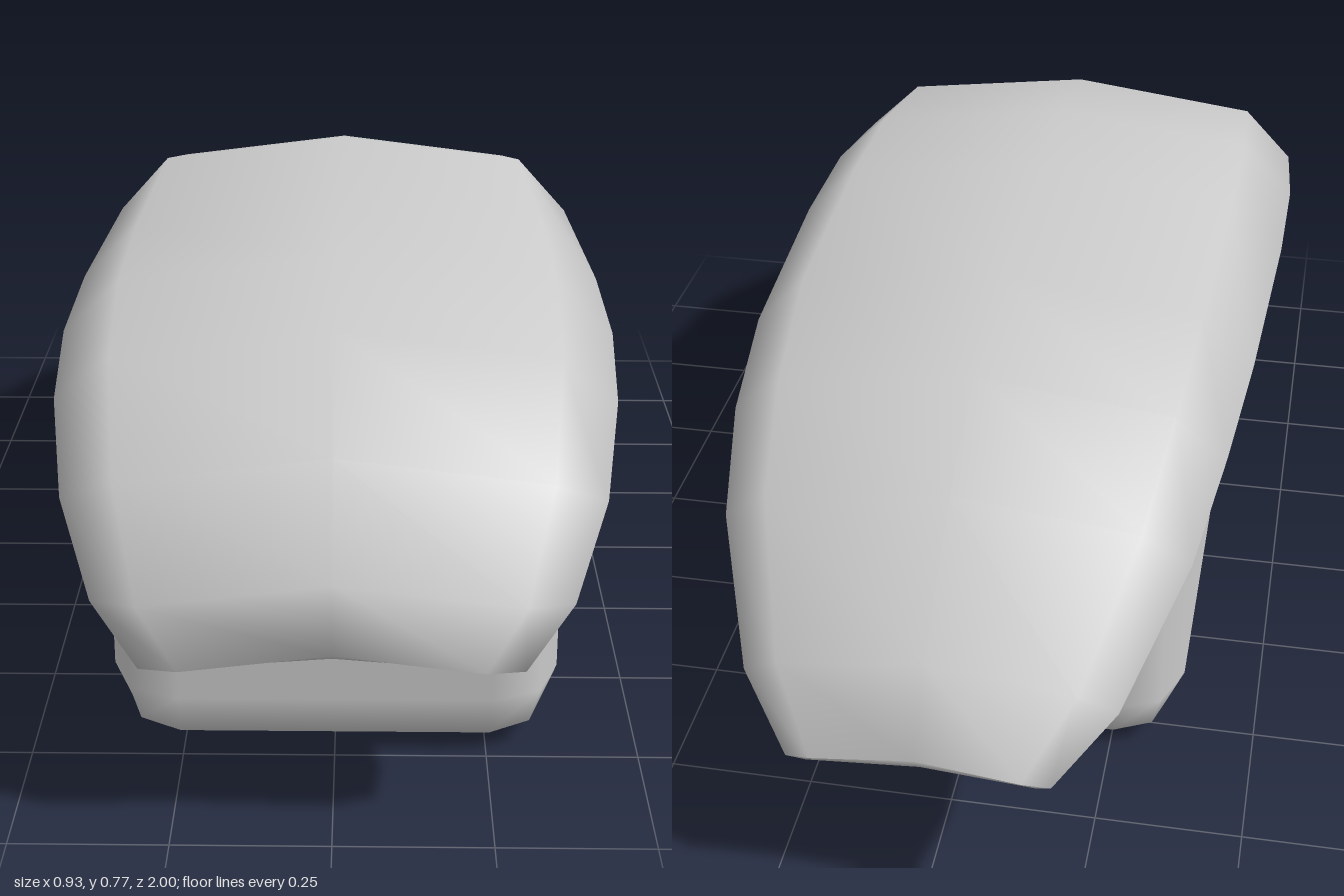
import * as THREE from 'three';
import { RoundedBoxGeometry } from 'three/addons/geometries/RoundedBoxGeometry.js';

// Cross-sections of the cover, front to back: [top z, top y, bottom z, bottom y, half width]
const SECTIONS = [
  [1.0, 0.335, 0.945, 0.278, 0.29],
  [0.98, 0.44, 0.86, 0.35, 0.365],
  [0.86, 0.59, 0.76, 0.44, 0.42],
  [0.665, 0.715, 0.6, 0.495, 0.45],
  [0.42, 0.757, 0.4, 0.515, 0.465],
  [0.16, 0.77, 0.16, 0.52, 0.463],
  [-0.27, 0.77, -0.24, 0.515, 0.443],
  [-0.5, 0.71, -0.46, 0.495, 0.42],
  [-0.7, 0.615, -0.64, 0.425, 0.385],
  [-0.91, 0.445, -0.86, 0.32, 0.3],
  [-1.0, 0.33, -0.965, 0.27, 0.21],
];

// Each ring has eight points: crown, shoulder, side and lower rim, mirrored about x = 0
function coverGeometry() {
  const N = 8;
  const positions = [];
  const index = [];
  for (const [zt, yt, zb, yb, w] of SECTIONS) {
    const sag = 0.1 * w;
    const half = [
      [0, yt, zt],
      [0.79 * w, yt - sag, zt],
      [w, (yt + yb) / 2 - 0.4 * sag, (zt + zb) / 2],
      [0.87 * w, yb, zb],
      [0, yb + 0.7 * sag, zb],
    ];
    const mirrored = half.slice(1, 4).reverse().map(([x, y, z]) => [-x, y, z]);
    positions.push(...half.flat(), ...mirrored.flat());
  }
  const last = (SECTIONS.length - 1) * N;
  for (let s = 0; s < last; s += N) {
    for (let i = 0; i < N; i++) {
      const j = (i + 1) % N;
      const a = s + i, b = s + N + i, c = s + N + j, d = s + j;
      index.push(a, d, b, d, c, b);
    }
  }
  // Close both ends
  for (let i = 1; i < N - 1; i++) {
    index.push(0, i + 1, i);
    index.push(last, last + i, last + i + 1);
  }
  const geometry = new THREE.BufferGeometry();
  geometry.setAttribute('position', new THREE.Float32BufferAttribute(positions, 3));
  geometry.setIndex(index);
  geometry.computeVertexNormals();
  return geometry;
}

export function createModel() {
  const group = new THREE.Group();
  const material = new THREE.MeshStandardMaterial({ color: 0xcccccc });

  // Block with bevelled edges
  const base = new THREE.Mesh(new RoundedBoxGeometry(0.74, 0.505, 1.365, 1, 0.115), material);
  base.name = 'base';
  base.position.set(0, 0.2525, 0.0825);

  // Arched cover above the block
  const cover = new THREE.Mesh(coverGeometry(), material);
  cover.name = 'archedCover';

  group.add(base, cover);
  return group;
}
